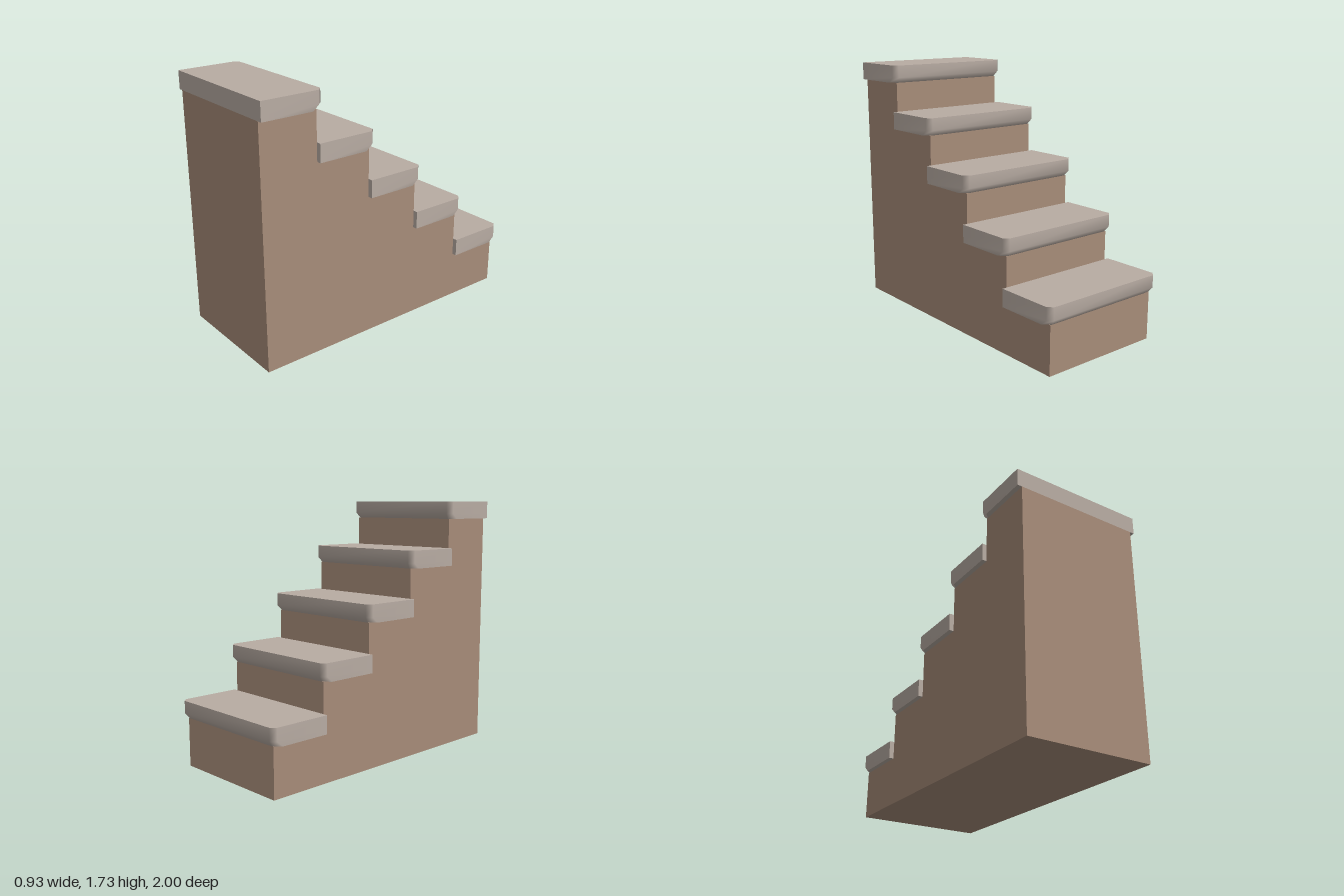
import * as THREE from 'three';

const STEPS = 5, RISE = 0.32, RUN = 0.394, NOSE = 0.03;
const FIRST = 0.325, THICK = 0.12, BODY_HALF = 0.435, TREAD_HALF = 0.467;

// Solid stepped block, drawn as a side profile and extruded across the width
function bodyGeometry() {
  const shape = new THREE.Shape();
  shape.moveTo(-1, 0);
  for (let i = STEPS - 1; i >= 0; i--) {
    const front = -1 + NOSE + i * RUN, y = FIRST + i * RISE;
    const back = i === STEPS - 1 ? 1 : front + RUN;
    shape.lineTo(-back, y);
    shape.lineTo(-front, y);
  }
  shape.lineTo(1 - NOSE, 0);
  const geo = new THREE.ExtrudeGeometry(shape, { depth: BODY_HALF * 2, bevelEnabled: false });
  return geo.translate(0, 0, -BODY_HALF).rotateY(Math.PI / 2);
}

// Tread: clipped corners at the nose, undercut lower edge, smooth wall and flat caps
function treadGeometry() {
  const depth = RUN + NOSE, w = TREAD_HALF, c = 0.033;
  const outline = (cornerX, cornerZ, noseZ) => [
    [w, depth], [w, cornerZ], [cornerX, noseZ], [-cornerX, noseZ], [-w, cornerZ], [-w, depth],
  ];
  const upper = outline(w - c, c, 0);
  const lower = outline(w - c - 0.012, c + 0.042, NOSE);
  const rows = [[lower, 0], [upper, 0.036], [upper, THICK]];
  const pos = [], index = [];
  const add = ([x, z], y) => pos.push(x, y, z) / 3 - 1;

  // Walls between successive rows
  const strip = (columns) => {
    const ids = rows.map(([pts, y]) => columns.map((k) => add(pts[k], y)));
    for (let r = 0; r < rows.length - 1; r++) {
      for (let k = 0; k < columns.length - 1; k++) {
        const a = ids[r][k], b = ids[r][k + 1], d = ids[r + 1][k], e = ids[r + 1][k + 1];
        index.push(a, b, e, a, e, d);
      }
    }
  };
  strip([0, 1, 2, 3, 4, 5]);
  strip([5, 0]);

  // Top and bottom caps
  const top = upper.map((p) => add(p, THICK));
  const bottom = lower.map((p) => add(p, 0));
  for (let k = 1; k < 5; k++) {
    index.push(top[0], top[k], top[k + 1]);
    index.push(bottom[0], bottom[k + 1], bottom[k]);
  }
  const geo = new THREE.BufferGeometry();
  geo.setAttribute('position', new THREE.Float32BufferAttribute(pos, 3));
  geo.setIndex(index);
  geo.computeVertexNormals();
  return geo;
}

export function createModel() {
  const brown = new THREE.MeshStandardMaterial({ color: 0xa78c79 });
  brown.name = 'warm brown';
  const stone = new THREE.MeshStandardMaterial({ color: 0xb8aca3 });
  stone.name = 'pale stone';

  const model = new THREE.Group();
  model.name = 'staircase';

  const body = new THREE.Mesh(bodyGeometry(), brown);
  body.name = 'stairBody';
  model.add(body);

  const treadGeo = treadGeometry();
  for (let i = 0; i < STEPS; i++) {
    const tread = new THREE.Mesh(treadGeo, stone);
    tread.name = `tread${i + 1}`;
    tread.position.set(0, FIRST + i * RISE, -1 + i * RUN);
    model.add(tread);
  }
  return model;
}
